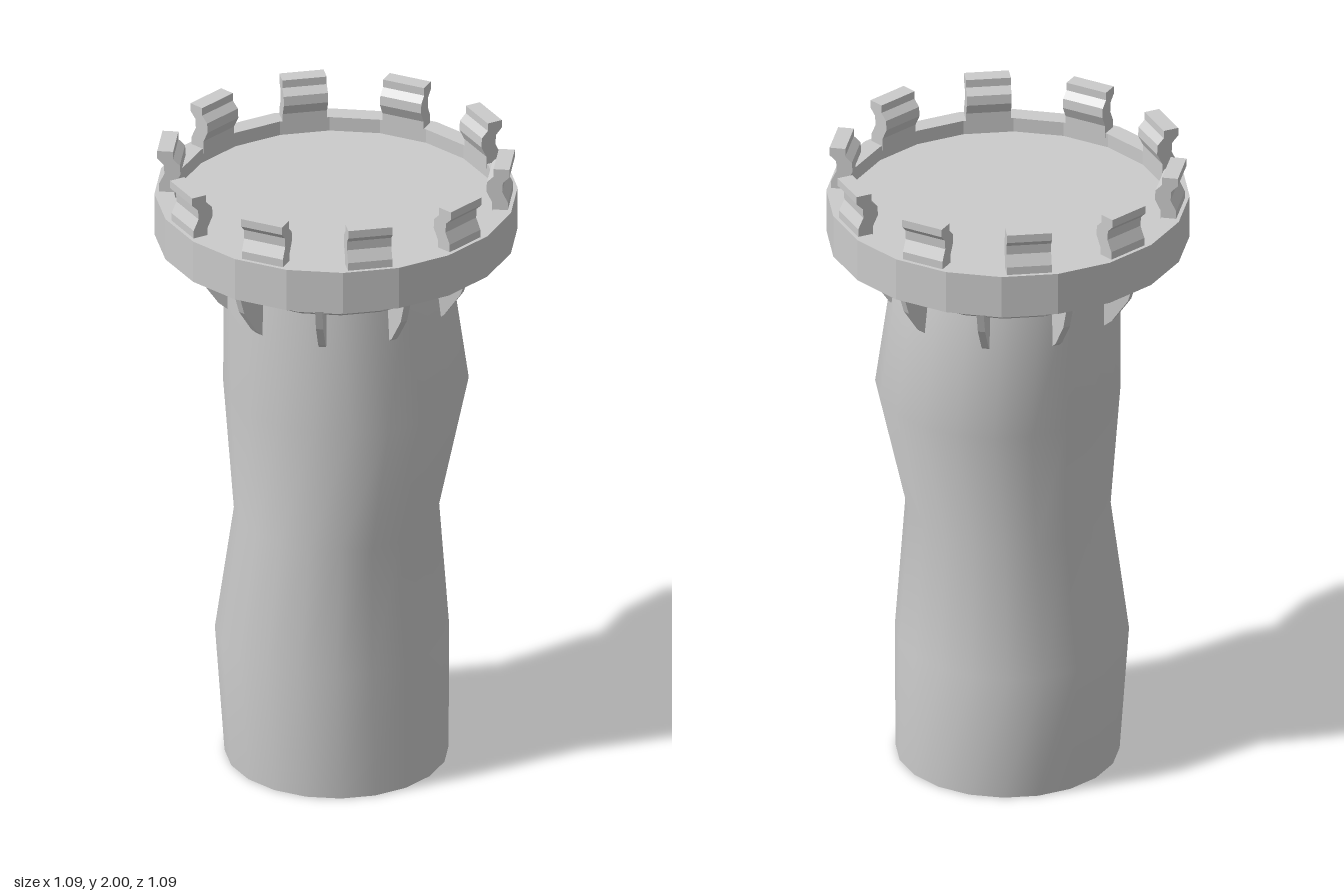
import * as THREE from 'three';

const SIDES = 20;
const grey = new THREE.MeshStandardMaterial({ color: 0xcccccc, side: THREE.DoubleSide });
const flatGrey = new THREE.MeshStandardMaterial({ color: 0xcccccc, side: THREE.DoubleSide, flatShading: true });

const points = (list) => list.map(([r, y]) => new THREE.Vector2(r, y));

function add(parent, name, geometry, material) {
  const mesh = new THREE.Mesh(geometry, material);
  mesh.name = name;
  parent.add(mesh);
  return mesh;
}

// Crooked open tube: each ring has a height, centre and radius
function shaftGeometry() {
  const rings = [
    [0, 0, 0.005, 0.335],
    [0.41, -0.01, -0.008, 0.35],
    [0.82, -0.005, 0.018, 0.307],
    [1.23, 0.03, 0.005, 0.367],
    [1.66, 0, 0, 0.337],
  ];
  const geometry = new THREE.CylinderGeometry(1, 1, 1, SIDES, rings.length - 1, true);
  const p = geometry.attributes.position;
  for (let i = 0; i < p.count; i++) {
    const k = Math.round((p.getY(i) + 0.5) * (rings.length - 1));
    const [y, cx, cz, r] = rings[k];
    p.setXYZ(i, cx + p.getX(i) * r, y, cz + p.getZ(i) * r);
  }
  // Average the normals, then match them across the seam
  geometry.computeVertexNormals();
  const n = geometry.attributes.normal;
  for (let k = 0; k < rings.length; k++) {
    const a = k * (SIDES + 1), b = a + SIDES;
    const v = new THREE.Vector3().fromBufferAttribute(n, a)
      .add(new THREE.Vector3().fromBufferAttribute(n, b)).normalize();
    n.setXYZ(a, v.x, v.y, v.z);
    n.setXYZ(b, v.x, v.y, v.z);
  }
  return geometry;
}

// Plate cut from a (radius, height) outline, with its thickness centred
function plate(outline, width) {
  return new THREE.ExtrudeGeometry(new THREE.Shape(points(outline)), { depth: width, bevelEnabled: false })
    .translate(0, 0, -width / 2);
}

// Ten copies around the axis
function ringOf(parent, name, geometry, startDegrees) {
  const group = new THREE.Group();
  group.name = name + 's';
  for (let i = 0; i < 10; i++) {
    const mesh = add(group, name, geometry, flatGrey);
    mesh.rotation.y = -THREE.MathUtils.degToRad(startDegrees + 36 * i);
  }
  parent.add(group);
}

export function createModel() {
  const model = new THREE.Group();
  model.name = 'tower';

  add(model, 'shaft', shaftGeometry(), grey);

  // Collar, ledge and raised rim in one turned profile
  add(model, 'platform', new THREE.LatheGeometry(points([
    [0.33, 1.64], [0.38, 1.64], [0.412, 1.66], [0.412, 1.715], [0.455, 1.715], [0.455, 1.73],
    [0.543, 1.73], [0.543, 1.865], [0.485, 1.865], [0.485, 1.82], [0, 1.82],
  ]), SIDES), flatGrey);

  // Battlements with a wavy profile
  const outer = [[0.525, 1.85], [0.525, 1.89], [0.508, 1.925], [0.51, 1.955], [0.53, 1.975], [0.53, 2]];
  const inner = outer.map(([r, y]) => [r - 0.048, y]).reverse();
  ringOf(model, 'battlement', plate([...outer, ...inner], 0.135), -9);

  // Thin brackets under the platform
  ringOf(model, 'bracket', plate([
    [0.325, 1.5], [0.36, 1.53], [0.415, 1.61], [0.45, 1.72], [0.33, 1.72],
  ], 0.022), 9);

  return model;
}
